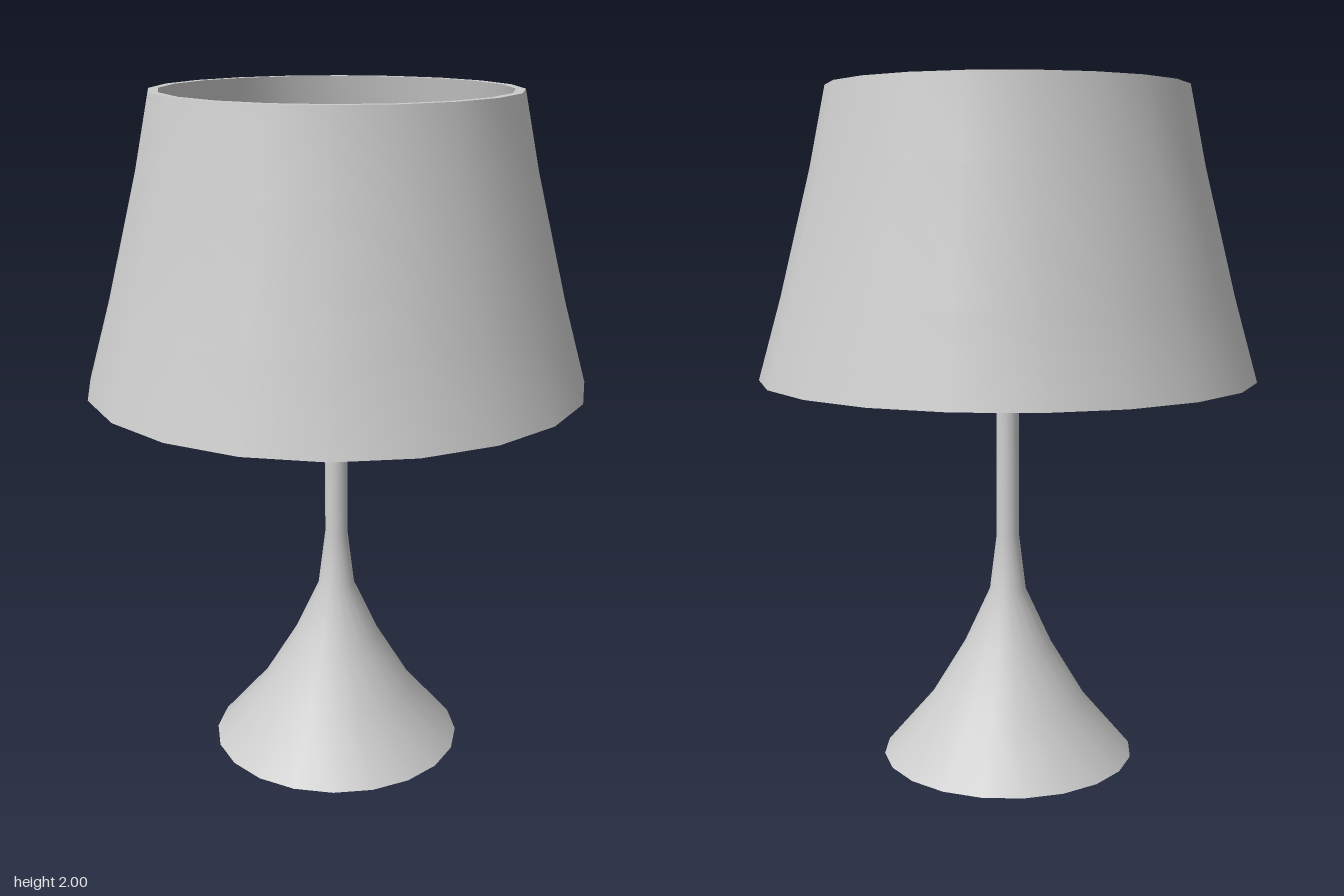
import * as THREE from 'three';
import { toCreasedNormals } from 'three/addons/utils/BufferGeometryUtils.js';

const SIDES = 20;

export function createModel() {
  const lamp = new THREE.Group();
  lamp.name = 'tableLamp';
  const material = new THREE.MeshStandardMaterial({ color: 0xcccccc });

  const add = (name, geometry) => {
    const mesh = new THREE.Mesh(geometry, material);
    mesh.name = name;
    lamp.add(mesh);
    return mesh;
  };
  // Turned part: smooth around, sharp at rims
  const turned = (profile) => toCreasedNormals(
    new THREE.LatheGeometry(profile.map(([r, y]) => new THREE.Vector2(r, y)), SIDES), 0.6);

  // Flared foot that runs up into the slim pole
  add('baseAndPole', turned([
    [0, 0], [0.38, 0], [0.235, 0.17], [0.133, 0.34], [0.055, 0.51],
    [0.034, 0.68], [0.034, 1.725], [0, 1.725],
  ]));

  // Hub on top of the pole
  const hub = add('hub', new THREE.CylinderGeometry(0.053, 0.053, 0.17, SIDES));
  hub.position.y = 1.635;

  // Four spokes holding the shade
  const inner = 0.03, outer = 0.572;
  for (let i = 0; i < 4; i++) {
    const spoke = new THREE.CylinderGeometry(0.02, 0.02, outer - inner, 12);
    spoke.rotateZ(Math.PI / 2);
    spoke.translate((inner + outer) / 2, 1.66, 0);
    spoke.rotateY(i * Math.PI / 2);
    add('shadeSpoke', spoke);
  }

  // Thick open shade, slightly curved, as a closed ring profile
  const outside = [[0.73, 1.16], [0.662, 1.4], [0.57, 1.77], [0.523, 2]];
  const wall = [0.042, 0.037, 0.031, 0.027];
  const inside = outside.map(([r, y], i) => [r - wall[i], y]).reverse();
  add('shade', turned([...outside, ...inside, outside[0]]));

  return lamp;
}
